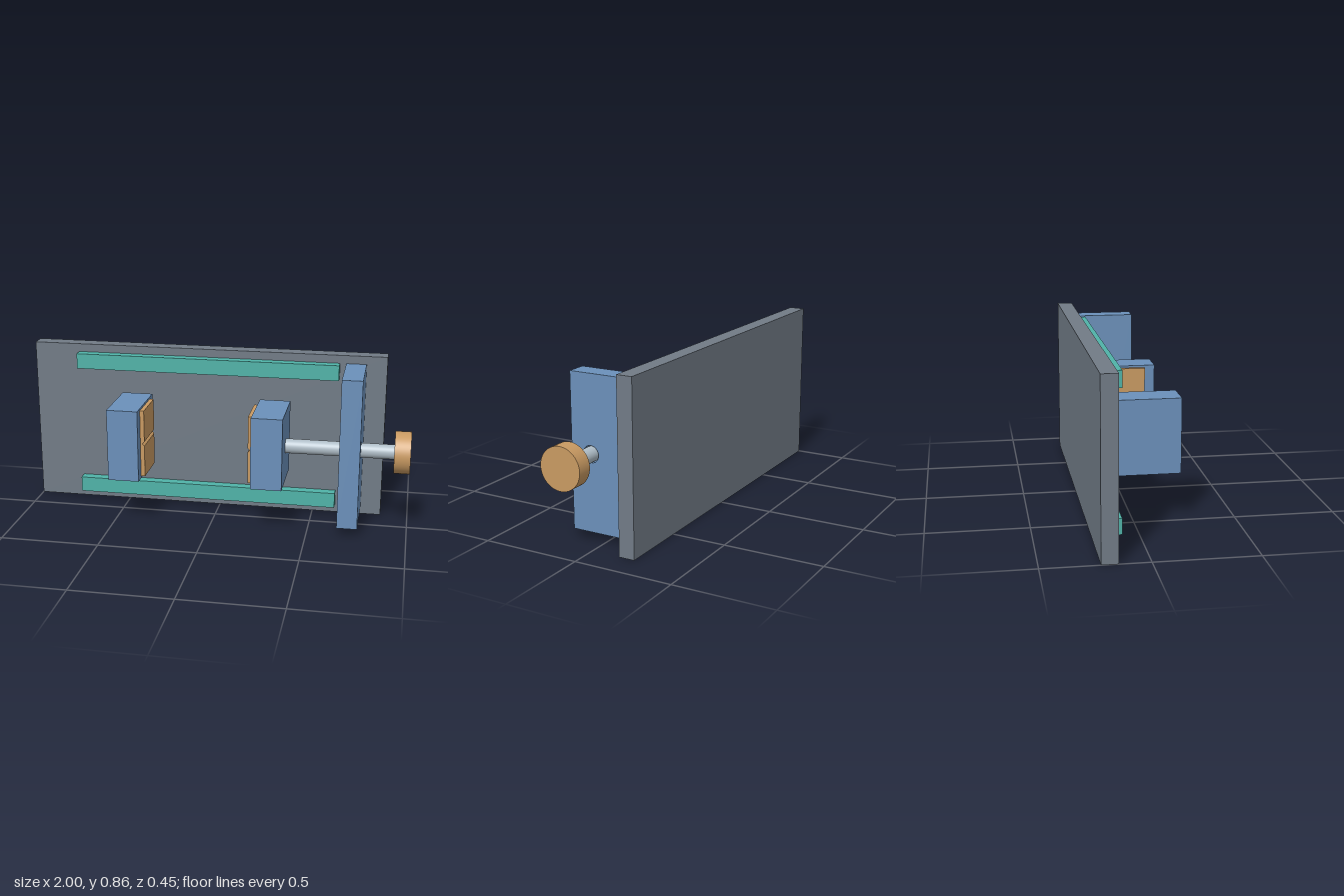
import * as THREE from 'three';

const mat = (name, color) => {
  const m = new THREE.MeshStandardMaterial({ color });
  m.name = name;
  return m;
};

export function createModel() {
  const group = new THREE.Group();
  const slate = mat('slate grey', 0x717b86);
  const blue = mat('steel blue', 0x6b90ba);
  const teal = mat('teal', 0x50b3a8);
  const tan = mat('tan', 0xc99a62);
  const steel = mat('light steel', 0xb0bec8);
  const axisY = 0.429, axisZ = 0.067;

  const add = (name, geometry, material) => {
    const mesh = new THREE.Mesh(geometry, material);
    mesh.name = name;
    group.add(mesh);
    return mesh;
  };
  // box given by its limits on each axis
  const box = (name, material, [x0, x1], [y0, y1], [z0, z1]) =>
    add(name, new THREE.BoxGeometry(x1 - x0, y1 - y0, z1 - z0), material)
      .position.set((x0 + x1) / 2, (y0 + y1) / 2, (z0 + z1) / 2);
  // cylinder lying along x on the screw axis
  const rod = (name, material, radius, x0, x1) => {
    const geometry = new THREE.CylinderGeometry(radius, radius, x1 - x0, 64);
    geometry.rotateZ(-Math.PI / 2);
    add(name, geometry, material).position.set((x0 + x1) / 2, axisY, axisZ);
  };

  // base plate and the two guide rails
  box('basePlate', slate, [-1, 0.86], [0, 0.857], [-0.227, -0.147]);
  box('lowerRail', teal, [-0.76, 0.62], [0.042, 0.122], [-0.147, -0.096]);
  box('upperRail', teal, [-0.76, 0.62], [0.735, 0.815], [-0.147, -0.096]);

  // fixed and sliding jaws
  box('fixedJaw', blue, [-0.514, -0.355], [0.243, 0.615], [-0.1, 0.227]);
  box('slidingJaw', blue, [0.218, 0.376], [0.243, 0.615], [-0.1, 0.227]);

  // jaw pads with a horizontal V groove across the gripping face
  const pad = (name, x, dir) => {
    const h = 0.175, t = 0.021, notch = 0.011;
    const points = [[0, -h], [t, -h], [t, -notch], [t - notch, 0], [t, notch], [t, h], [0, h]];
    const shape = new THREE.Shape(points.map(([px, py]) => new THREE.Vector2(px * dir, py)));
    const geometry = new THREE.ExtrudeGeometry(shape, { depth: 0.212, bevelEnabled: false });
    add(name, geometry, tan).position.set(x, axisY, -0.04);
  };
  pad('fixedJawPad', -0.355, 1);
  pad('slidingJawPad', 0.218, -1);

  // screw support with a clearance hole, extruded along x
  const y0 = 0.042, y1 = 0.815, z0 = -0.147, z1 = 0.173;
  const plate = new THREE.Shape([[-z1, y0], [-z0, y0], [-z0, y1], [-z1, y1]]
    .map(([a, b]) => new THREE.Vector2(a, b)));
  const hole = new THREE.Path();
  hole.absarc(-axisZ, axisY, 0.042, 0, Math.PI * 2, true);
  plate.holes.push(hole);
  const support = new THREE.ExtrudeGeometry(plate, { depth: 0.103, bevelEnabled: false, curveSegments: 32 });
  support.rotateY(Math.PI / 2);
  add('screwSupport', support, blue).position.x = 0.652;

  // screw and hand knob
  rod('screw', steel, 0.037, 0.37, 0.925);
  rod('knob', tan, 0.106, 0.92, 1);

  return group;
}
